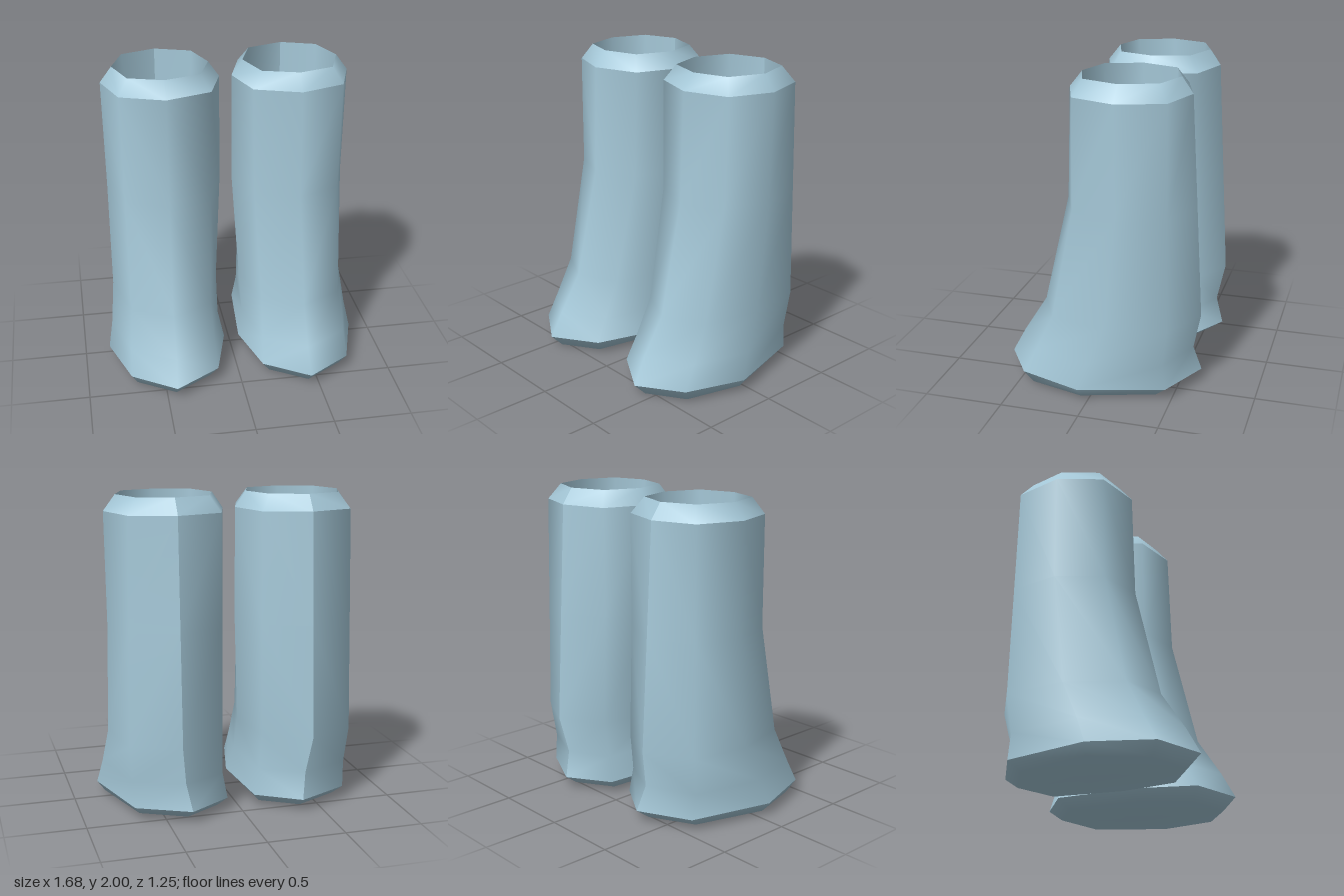
import * as THREE from 'three';

// Each ring has eight [x, y, z] corners: back, backOuter, outer, frontOuter,
// front, frontInner, inner, backInner (for the boot on +x).
const ring = (y, pts) => pts.map(([x, z, py = y]) => [x, py, z]);
const flat = (x, y, z) => Array.from({ length: 8 }, () => [x, y, z]);

// Skin over consecutive rings; the back corner is doubled to give a sharp seam.
function loft(rings, side) {
  const pos = [], idx = [];
  for (const r of rings) {
    for (let i = 0; i <= 8; i++) {
      const [x, y, z] = r[i % 8];
      pos.push(x * side, y, z);
    }
  }
  for (let j = 0; j < rings.length - 1; j++) {
    for (let i = 0; i < 8; i++) {
      const a = j * 9 + i, b = a + 1, c = a + 9, d = a + 10;
      if (side > 0) idx.push(a, c, b, b, c, d);
      else idx.push(a, b, c, b, d, c);
    }
  }
  const g = new THREE.BufferGeometry();
  g.setAttribute('position', new THREE.Float32BufferAttribute(pos, 3));
  g.setIndex(idx);
  g.computeVertexNormals();
  return g;
}

// Sole, from the ground contact out to the welt
const bottom = ring(0.02, [
  [0.37, -0.54], [0.65, -0.4], [0.79, 0.05], [0.68, 0.4, 0.01],
  [0.44, 0.54, 0.002], [0.2, 0.4, 0.01], [0.11, 0.05], [0.14, -0.4]]);
const welt = ring(0.085, [
  [0.36, -0.63], [0.69, -0.47], [0.84, 0.06], [0.72, 0.45, 0.095],
  [0.44, 0.625, 0.088], [0.15, 0.45, 0.095], [0.05, 0.06], [0.09, -0.46]]);

// Foot, ankle and shaft
const instep = ring(0.25, [
  [0.39, -0.58], [0.7, -0.45], [0.81, 0.0], [0.71, 0.37],
  [0.43, 0.54], [0.16, 0.37], [0.085, 0.0], [0.12, -0.45]]);
const ankle = ring(0.49, [
  [0.42, -0.63], [0.72, -0.48], [0.785, -0.1], [0.69, 0.26],
  [0.43, 0.39], [0.17, 0.26], [0.08, -0.1], [0.13, -0.48]]);
const calf = ring(1.2, [
  [0.42, -0.59], [0.71, -0.47], [0.785, -0.17], [0.69, 0.12],
  [0.42, 0.23], [0.14, 0.12], [0.04, -0.17], [0.13, -0.46]]);
const top = ring(1.9, [
  [0.42, -0.55], [0.7, -0.46], [0.795, -0.17], [0.7, 0.11],
  [0.42, 0.21], [0.13, 0.11], [0.04, -0.17], [0.13, -0.46]]);

// Opening
const mouthPts = [
  [0.42, -0.48], [0.64, -0.4], [0.72, -0.17], [0.64, 0.06],
  [0.42, 0.13], [0.19, 0.06], [0.11, -0.17], [0.19, -0.4]];
const mouth = ring(2, mouthPts);
const lowerMouth = ring(0.16, mouthPts);

export function createModel() {
  const leather = new THREE.MeshStandardMaterial({ color: 0xa5c8d8 });
  leather.name = 'paleBlue';

  const parts = {
    sole: [flat(0.44, 0, 0.03), bottom, welt],
    upper: [welt, instep, ankle, calf, top],
    rim: [top, mouth],
    lining: [mouth, lowerMouth],
    insole: [lowerMouth, flat(0.42, 0.16, -0.17)],
  };

  const model = new THREE.Group();
  model.name = 'boots';
  for (const side of [1, -1]) {
    const boot = new THREE.Group();
    boot.name = side > 0 ? 'leftBoot' : 'rightBoot';
    for (const [name, rings] of Object.entries(parts)) {
      const mesh = new THREE.Mesh(loft(rings, side), leather);
      mesh.name = name;
      boot.add(mesh);
    }
    model.add(boot);
  }
  return model;
}
